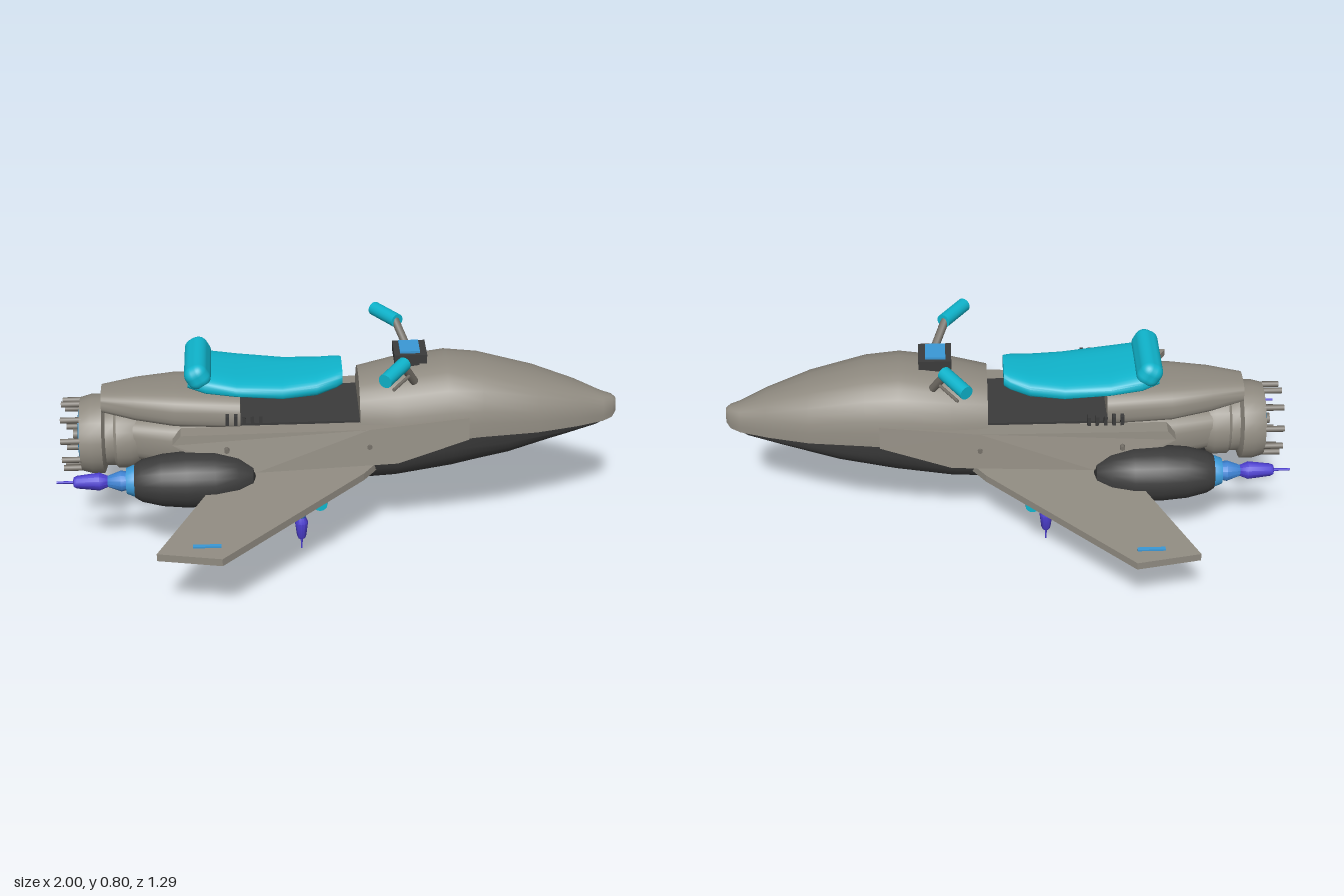
import * as THREE from 'three';
import { toCreasedNormals } from 'three/addons/utils/BufferGeometryUtils.js';
import { RoundedBoxGeometry } from 'three/addons/geometries/RoundedBoxGeometry.js';

const paint = (name, color) => Object.assign(new THREE.MeshStandardMaterial({ color }), { name });
const grey = paint('hull grey', 0x8f8a80);
const dark = paint('dark grey', 0x3b3b3b);
const steel = paint('nozzle steel', 0x77726a);
const cyan = paint('cyan padding', 0x0fb5cd);
const blue = paint('light blue', 0x3a98d6);
const flameBlue = paint('flame blue', 0x3c82d2);
const flamePurple = paint('flame purple', 0x4d3fd0);

// Hull from cross-sections along x: [x, seamY, up, down, halfWidth], rings are superellipses
function loft(sections, power = 2.4, n = 32, crease = 0.6) {
  const pos = [], idx = [];
  const bend = v => Math.sign(v) * Math.pow(Math.abs(v), 2 / power);
  for (const [x, y, up, down, w] of sections) {
    for (let j = 0; j < n; j++) {
      const a = (j / n) * Math.PI * 2, s = bend(Math.sin(a));
      pos.push(x, y + s * (s > 0 ? up : down), w * bend(Math.cos(a)));
    }
  }
  const last = sections.length - 1;
  for (let i = 0; i < last; i++) {
    for (let j = 0; j < n; j++) {
      const a = i * n + j, b = i * n + (j + 1) % n;
      idx.push(a, a + n, b, b, a + n, b + n);
    }
  }
  for (const i of [0, last]) {
    const [x, y, up, down] = sections[i], c = pos.length / 3;
    pos.push(x, y + (up - down) / 2, 0);
    for (let j = 0; j < n; j++) {
      const a = i * n + j, b = i * n + (j + 1) % n;
      if (i === 0) idx.push(c, a, b); else idx.push(c, b, a);
    }
  }
  const g = new THREE.BufferGeometry();
  g.setAttribute('position', new THREE.Float32BufferAttribute(pos, 3));
  g.setIndex(idx);
  return toCreasedNormals(g, crease);
}

const lathe = (pts, n = 20) =>
  toCreasedNormals(new THREE.LatheGeometry(pts.map(p => new THREE.Vector2(...p)), n), 0.6);

// Cylinder between two points
function rod(a, b, r0, r1 = r0, n = 10) {
  const A = new THREE.Vector3(...a), d = new THREE.Vector3(...b).sub(A);
  const g = new THREE.CylinderGeometry(r1, r0, d.length(), n).translate(0, d.length() / 2, 0);
  const q = new THREE.Quaternion().setFromUnitVectors(new THREE.Vector3(0, 1, 0), d.normalize());
  return g.applyQuaternion(q).translate(A.x, A.y, A.z);
}

const box = (w, h, d, x, y, z) => new THREE.BoxGeometry(w, h, d).translate(x, y, z);

const outline = pts => new THREE.Shape(pts.map(p => new THREE.Vector2(...p)));

// Mirror across the centre plane, keeping faces outward
function mirrored(geo) {
  const g = geo.index ? geo.toNonIndexed() : geo.clone();
  g.scale(1, 1, -1);
  for (const a of [g.attributes.position, g.attributes.normal]) {
    for (let i = 0; i < a.count; i += 3) {
      const v = [a.getX(i + 1), a.getY(i + 1), a.getZ(i + 1)];
      a.setXYZ(i + 1, a.getX(i + 2), a.getY(i + 2), a.getZ(i + 2));
      a.setXYZ(i + 2, ...v);
    }
  }
  return g;
}

// Move vertices by a rule
function reshape(g, rule) {
  const p = g.attributes.position;
  for (let i = 0; i < p.count; i++) p.setXYZ(i, ...rule(p.getX(i), p.getY(i), p.getZ(i)));
  g.computeVertexNormals();
  return g;
}

export function createModel() {
  const model = new THREE.Group();
  model.name = 'hoverBike';
  const add = (name, geo, mat) => {
    const m = new THREE.Mesh(geo, mat);
    m.name = name;
    model.add(m);
  };
  const pair = (name, geo, mat) => {
    add(name + 'Front', geo, mat);
    add(name + 'Back', mirrored(geo), mat);
  };

  // Hull
  add('noseHull', loft([
    [0.07, 0.47, 0.19, 0, 0.165], [0.2, 0.47, 0.22, 0, 0.19], [0.38, 0.485, 0.23, 0, 0.197],
    [0.5, 0.492, 0.21, 0, 0.189], [0.7, 0.484, 0.165, 0, 0.155], [0.85, 0.474, 0.122, 0, 0.103],
    [0.95, 0.468, 0.083, 0, 0.06], [0.985, 0.472, 0.07, 0, 0.04], [1, 0.485, 0.045, 0, 0.02],
  ]), grey);
  add('lowerHull', loft([
    [-0.72, 0.43, 0, 0.1, 0.1], [-0.5, 0.43, 0, 0.16, 0.15], [-0.1, 0.43, 0, 0.172, 0.175],
    [0.2, 0.44, 0, 0.16, 0.18], [0.4, 0.487, 0, 0.172, 0.185], [0.6, 0.488, 0, 0.123, 0.17],
    [0.8, 0.477, 0, 0.052, 0.12], [0.92, 0.47, 0, 0.02, 0.073], [0.98, 0.473, 0, 0.006, 0.035],
  ], 2.6), dark);
  add('coreBody', loft([
    [-0.78, 0.45, 0.08, 0.08, 0.1], [-0.6, 0.45, 0.09, 0.1, 0.145],
    [-0.3, 0.45, 0.085, 0.1, 0.165], [0.1, 0.45, 0.085, 0.1, 0.165],
  ], 3), grey);
  add('rearDeck', loft([
    [-0.84, 0.575, 0.045, 0.025, 0.065], [-0.72, 0.57, 0.065, 0.045, 0.1],
    [-0.58, 0.56, 0.082, 0.05, 0.13], [-0.35, 0.55, 0.08, 0.05, 0.135],
  ], 3), grey);
  add('footwell', box(0.42, 0.009, 0.27, -0.14, 0.537, 0), dark);

  // Side rails, leaning outward at the bottom
  const rail = new THREE.ExtrudeGeometry(outline([
    [-0.59, 0.49], [-0.5, 0.44], [-0.3, 0.39], [0.2, 0.41], [0.45, 0.492],
    [0.45, 0.572], [0.1, 0.538], [-0.56, 0.525],
  ]), { depth: 0.055, bevelEnabled: false });
  pair('sideRail', reshape(rail, (x, y, z) => [x, y, z + 0.143 + (0.53 - y) * 0.17 - Math.max(0, -x - 0.3) * 0.06]), grey);
  for (const x of [-0.4, 0.1]) pair('railBolt', rod([x, 0.475, 0.19], [x, 0.475, 0.213], 0.009), steel);
  for (let i = 0; i < 5; i++) pair('ventFin', box(0.012, 0.035, 0.022, -0.395 + i * 0.029, 0.597, 0.203), dark);

  // Drooping swept wings
  const wing = new THREE.ExtrudeGeometry(outline([
    [-0.36, 0.15], [0.14, 0.15], [0.08, 0.22], [-0.42, 0.645], [-0.64, 0.61], [-0.47, 0.3],
  ]), { depth: 0.028, bevelEnabled: false }).rotateX(Math.PI / 2);
  pair('wing', reshape(wing, (x, y, z) => [x, y + 0.378 - (z - 0.19) * 0.128, z]), grey);
  pair('wingLight', box(0.095, 0.006, 0.014, -0.47, 0.345, 0.602), blue);
  pair('wingStrut', rod([-0.36, 0.325, 0.2], [-0.48, 0.293, 0.505], 0.017), grey);
  pair('footPeg', rod([-0.08, 0.322, 0.14], [-0.08, 0.322, 0.335], 0.025, 0.025, 16), cyan);

  // Two-tone flame along a lathe axis of given length
  const flame = (name, k, place) => {
    const scaled = pts => lathe(pts.map(([r, t]) => [r * k, t * 0.22 * k]), 12);
    pair(name + 'Base', place(scaled([[0, 0], [0.018, 0], [0.028, 0.22], [0.015, 0.38]])), flameBlue);
    pair(name + 'Tip', place(scaled([
      [0.015, 0.38], [0.024, 0.48], [0.017, 0.75], [0.013, 0.79], [0.004, 0.8], [0.003, 1], [0, 1],
    ])), flamePurple);
  };
  const backward = (g, y = 0, z = 0) => g.rotateZ(Math.PI / 2).translate(0, y, z);

  // Rear side engines
  pair('sideEngine', backward(lathe([
    [0, 0.3], [0.04, 0.31], [0.075, 0.36], [0.096, 0.44], [0.1, 0.54], [0.092, 0.63],
    [0.075, 0.7], [0.06, 0.725], [0, 0.715],
  ], 24), 0.368, 0.216), dark);
  pair('engineNozzle', backward(lathe([
    [0.052, 0.7], [0.056, 0.73], [0.046, 0.755], [0.036, 0.755], [0.03, 0.71],
  ]), 0.365, 0.21), blue);
  flame('rearFlame', 1.32, g => backward(g, 0.365, 0.21).translate(-0.71, 0, 0));

  // Lift thrusters under the belly
  const down = g => g.rotateX(Math.PI).translate(-0.14, 0, 0.125);
  pair('liftThruster', down(lathe([
    [0, -0.32], [0.045, -0.32], [0.05, -0.27], [0.062, -0.25], [0.06, -0.215], [0.035, -0.208], [0, -0.22],
  ], 10)), steel);
  flame('liftFlame', 1, g => down(g.translate(0, -0.22, 0)));

  // Main thruster with a ring of prongs
  add('mainThruster', backward(lathe([
    [0.1, 0.68], [0.125, 0.74], [0.125, 0.79], [0.115, 0.8], [0.115, 0.83], [0.143, 0.84],
    [0.143, 0.88], [0.132, 0.92], [0.108, 0.92], [0.1, 0.83], [0, 0.83],
  ], 24), 0.437), grey);
  add('thrusterGlow', new THREE.TorusGeometry(0.1, 0.011, 8, 28).rotateY(Math.PI / 2).translate(-0.915, 0.437, 0), blue);
  for (let i = 0; i < 10; i++) {
    const a = ((i + 0.5) / 10) * Math.PI * 2, y = 0.437 + 0.122 * Math.sin(a), z = 0.122 * Math.cos(a);
    add('prong', rod([-0.84, y, z], [-0.985, y, z], 0.011, 0.011, 8), steel);
  }
  add('thrusterCore', rod([-0.82, 0.437, 0], [-0.95, 0.437, 0], 0.02), steel);

  // Saddle
  add('seat', loft([
    [-0.53, 0.685, 0.035, 0.02, 0.11], [-0.47, 0.675, 0.04, 0.028, 0.13], [-0.36, 0.66, 0.032, 0.024, 0.138],
    [-0.2, 0.645, 0.033, 0.03, 0.128], [-0.08, 0.65, 0.034, 0.033, 0.11],
    [-0.01, 0.665, 0.033, 0.03, 0.088], [0.012, 0.672, 0.028, 0.028, 0.075],
  ], 3.2), cyan);
  add('backrest', new RoundedBoxGeometry(0.085, 0.09, 0.265, 4, 0.035)
    .rotateZ(0.5).translate(-0.495, 0.715, 0), cyan);

  // Dashboard
  add('dashboardStand', box(0.07, 0.06, 0.06, 0.25, 0.695, 0), dark);
  add('dashboard', box(0.115, 0.034, 0.112, 0.252, 0.737, 0), dark);
  add('screen', box(0.07, 0.009, 0.085, 0.25, 0.758, 0), blue);

  // Handlebars
  pair('handlebarStem', rod([0.26, 0.68, 0.11], [0.21, 0.785, 0.17], 0.015), steel);
  pair('grip', rod([0.22, 0.778, 0.16], [0.145, 0.773, 0.272], 0.025, 0.025, 16), cyan);
  pair('brakeLever', rod([0.235, 0.74, 0.18], [0.175, 0.738, 0.27], 0.006, 0.006, 6), steel);

  return model;
}
